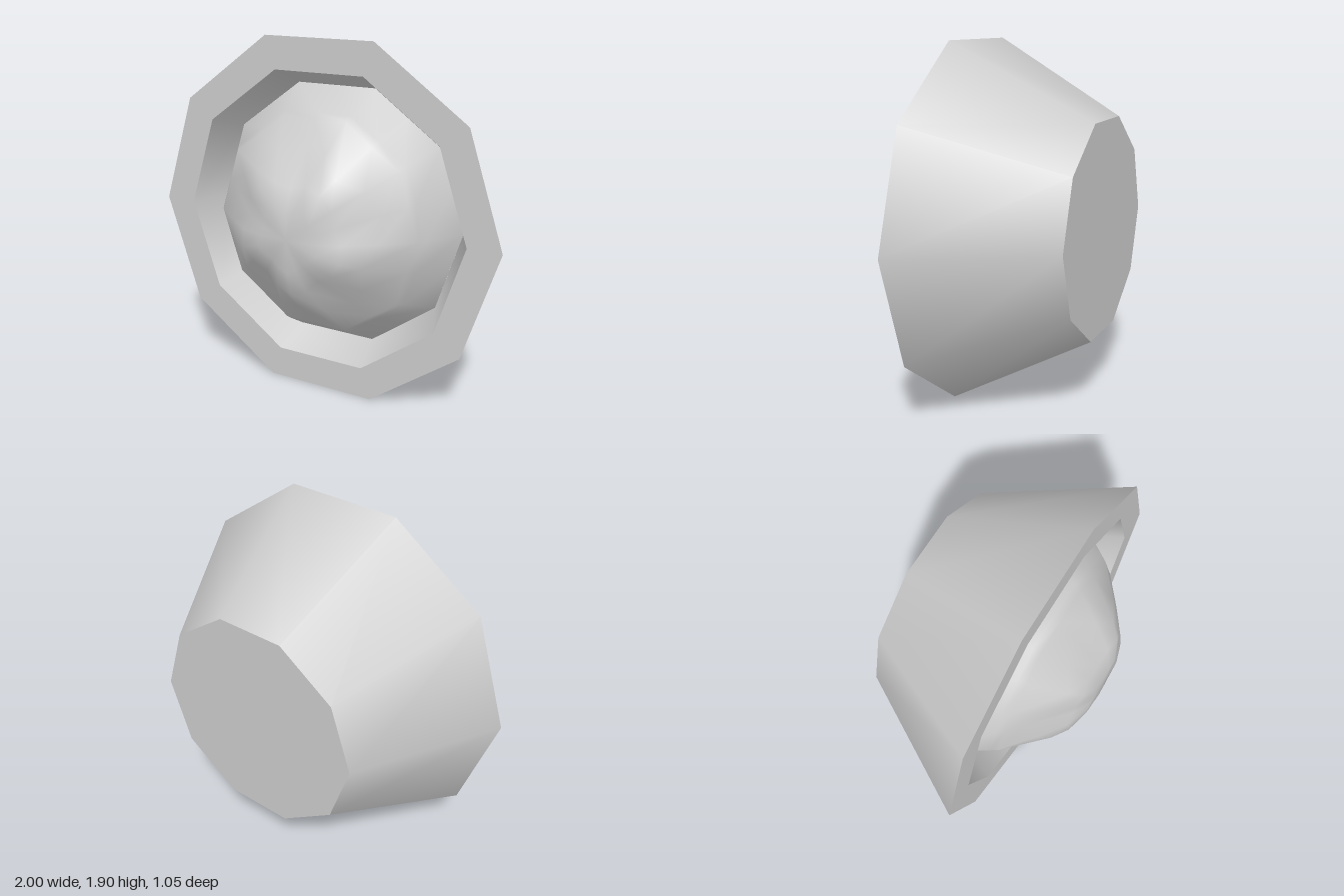
import * as THREE from 'three';

const CENTRE_Y = 0.951; // the decagon's flat side rests on the ground
const SIDES = 10;

export function createModel() {
  const model = new THREE.Group();
  const material = new THREE.MeshStandardMaterial({ color: 0xcccccc });

  function add(name, geometry) {
    const mesh = new THREE.Mesh(geometry, material);
    mesh.name = name;
    mesh.position.y = CENTRE_Y;
    model.add(mesh);
  }

  // Ten-sided band between two [radius, z] points, turned about the z axis
  function band(name, from, to) {
    const points = [from, to].map(([r, z]) => new THREE.Vector2(r, z));
    const geometry = new THREE.LatheGeometry(points, SIDES, Math.PI / 2);
    add(name, geometry.rotateX(Math.PI / 2));
  }

  // Housing: each band is separate so the edges between them stay sharp
  const back = [0.59, -0.525], outer = [1, 0.205], inner = [0.82, 0.205], socket = [0.73, 0.015];
  band('backPlate', [0, -0.525], back);
  band('housingSide', back, outer);
  band('frontRim', outer, inner);
  band('socketWall', inner, socket);

  add('dome', domeGeometry());
  return model;
}

// Dome with five-fold facets: a pentagon at the tip widening into a decagon.
// Each ring gives [radius, z] at the pentagon corners, between, and at the pentagon sides.
function domeGeometry() {
  const rings = [
    { corner: [0.175, 0.524], between: [0.155, 0.524], side: [0.135, 0.524] },
    { corner: [0.296, 0.489], between: [0.285, 0.478], side: [0.253, 0.474] },
    { corner: [0.382, 0.428], between: [0.43, 0.37], side: [0.454, 0.307] },
    { corner: [0.553, 0.247], between: [0.585, 0.242], side: [0.555, 0.242] },
    { corner: [0.58, 0.205], between: [0.61, 0.205], side: [0.58, 0.205] },
    { corner: [0.694, 0.015], between: [0.73, 0.015], side: [0.694, 0.015] },
  ];
  const kinds = ['between', 'side', 'between', 'corner'];
  const count = SIDES * 2;
  const positions = [0, 0, 0.525];
  const index = [];

  rings.forEach((ring, i) => {
    for (let k = 0; k < count; k++) {
      const [r, z] = ring[kinds[k % 4]];
      const angle = (k / count) * Math.PI * 2;
      positions.push(r * Math.cos(angle), r * Math.sin(angle), z);

      const next = (k + 1) % count;
      const a = 1 + i * count + k, b = 1 + i * count + next;
      if (i === 0) index.push(0, a, b);
      else index.push(a - count, a, b, a - count, b, b - count);
    }
  });

  const geometry = new THREE.BufferGeometry();
  geometry.setAttribute('position', new THREE.Float32BufferAttribute(positions, 3));
  geometry.setIndex(index);
  geometry.computeVertexNormals();
  return geometry;
}
